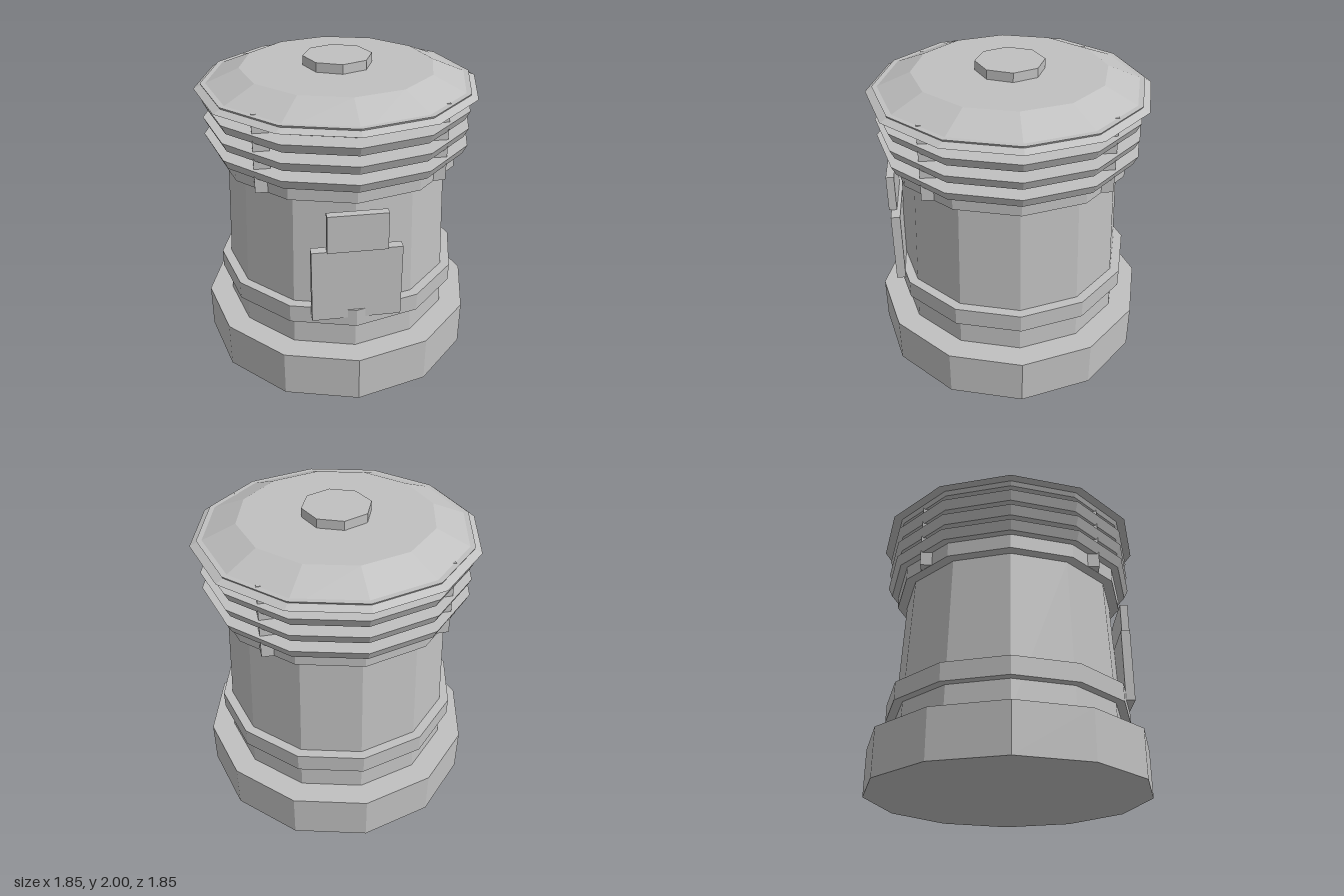
import * as THREE from 'three';

export function createModel() {
  const model = new THREE.Group();
  model.name = 'ventTower';
  const grey = new THREE.MeshStandardMaterial({ color: 0xc0c0c0, flatShading: true });
  grey.name = 'plain grey';

  function add(name, geometry, x, y, z) {
    const mesh = new THREE.Mesh(geometry, grey);
    mesh.name = name;
    mesh.position.set(x, y, z);
    model.add(mesh);
  }

  // faceted drum between two heights
  function drum(name, y0, y1, rBottom, rTop = rBottom, sides = 12) {
    add(name, new THREE.CylinderGeometry(rTop, rBottom, y1 - y0, sides), 0, (y0 + y1) / 2, 0);
  }

  // box given by its limits on each axis
  function block(name, [x0, x1], [y0, y1], [z0, z1]) {
    add(name, new THREE.BoxGeometry(x1 - x0, y1 - y0, z1 - z0),
      (x0 + x1) / 2, (y0 + y1) / 2, (z0 + z1) / 2);
  }

  // base, tapered body and its band
  drum('base', 0, 0.31, 0.923);
  drum('body', 0.31, 1.36, 0.766, 0.722);
  drum('band', 0.5, 0.62, 0.815);

  // vent section: collar, core and sloped louvres
  drum('collar', 1.36, 1.456, 0.788);
  drum('core', 1.36, 1.83, 0.72);
  for (let i = 0; i < 4; i++) {
    const y = 1.456 + i * 0.112;
    drum('louvre', y, y + 0.06, 0.835, 0.864);
  }

  // four square posts through the louvres
  for (const sx of [-1, 1]) {
    for (const sz of [-1, 1]) {
      add('post', new THREE.BoxGeometry(0.096, 0.494, 0.096), sx * 0.528, 1.609, sz * 0.528);
    }
  }

  // sloped roof and octagonal cap
  drum('roof', 1.82, 1.94, 0.907, 0.62);
  drum('cap', 1.94, 2, 0.22, 0.22, 8);

  // front door with the panel above it
  block('door', [-0.278, 0.278], [0.56, 1.053], [0.74, 0.8]);
  block('doorPanel', [-0.184, 0.184], [1.053, 1.3], [0.764, 0.816]);

  return model;
}
